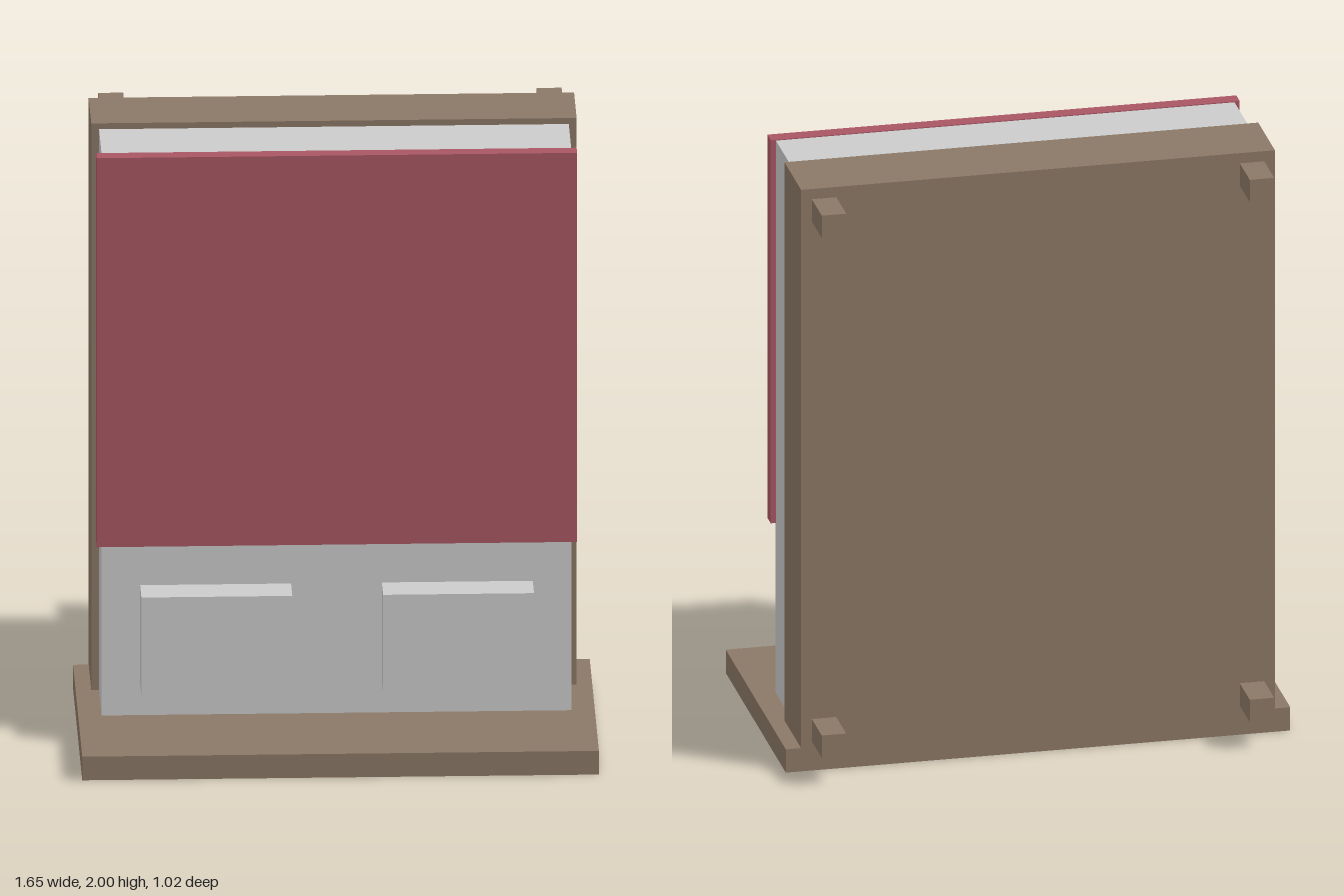
import * as THREE from 'three';

const wood = new THREE.MeshStandardMaterial({ color: 0x8b7866 });
const cloth = new THREE.MeshStandardMaterial({ color: 0xa85762 });
const grey = new THREE.MeshStandardMaterial({ color: 0xcccccc });

// Box given by its extents along each axis
function box(name, material, [x0, x1], [y0, y1], [z0, z1]) {
  const mesh = new THREE.Mesh(new THREE.BoxGeometry(x1 - x0, y1 - y0, z1 - z0), material);
  mesh.position.set((x0 + x1) / 2, (y0 + y1) / 2, (z0 + z1) / 2);
  mesh.name = name;
  return mesh;
}

export function createModel() {
  const bed = new THREE.Group();
  bed.name = 'uprightBed';

  // Bed standing on its headboard
  bed.add(
    box('headboard', wood, [-0.825, 0.825], [0, 0.08], [-0.365, 0.51]),
    box('bedFrame', wood, [-0.775, 0.775], [0.08, 2], [-0.365, -0.122]),
    box('mattress', grey, [-0.75, 0.75], [0.08, 1.98], [-0.122, 0.12]),
    box('blanket', cloth, [-0.767, 0.767], [0.665, 1.983], [0.113, 0.162]),
  );

  // Pillows and legs, mirrored left and right
  for (const [side, s] of [['left', 1], ['right', -1]]) {
    const span = (a, b) => (s > 0 ? [a, b] : [-b, -a]);
    bed.add(box(side + 'Pillow', grey, span(0.145, 0.627), [0.185, 0.52], [0.12, 0.238]));
    for (const [end, y] of [['Head', 0.1], ['Foot', 1.888]]) {
      bed.add(box(side + end + 'Leg', wood, span(0.66, 0.74), [y, y + 0.077], [-0.51, -0.365]));
    }
  }
  return bed;
}
